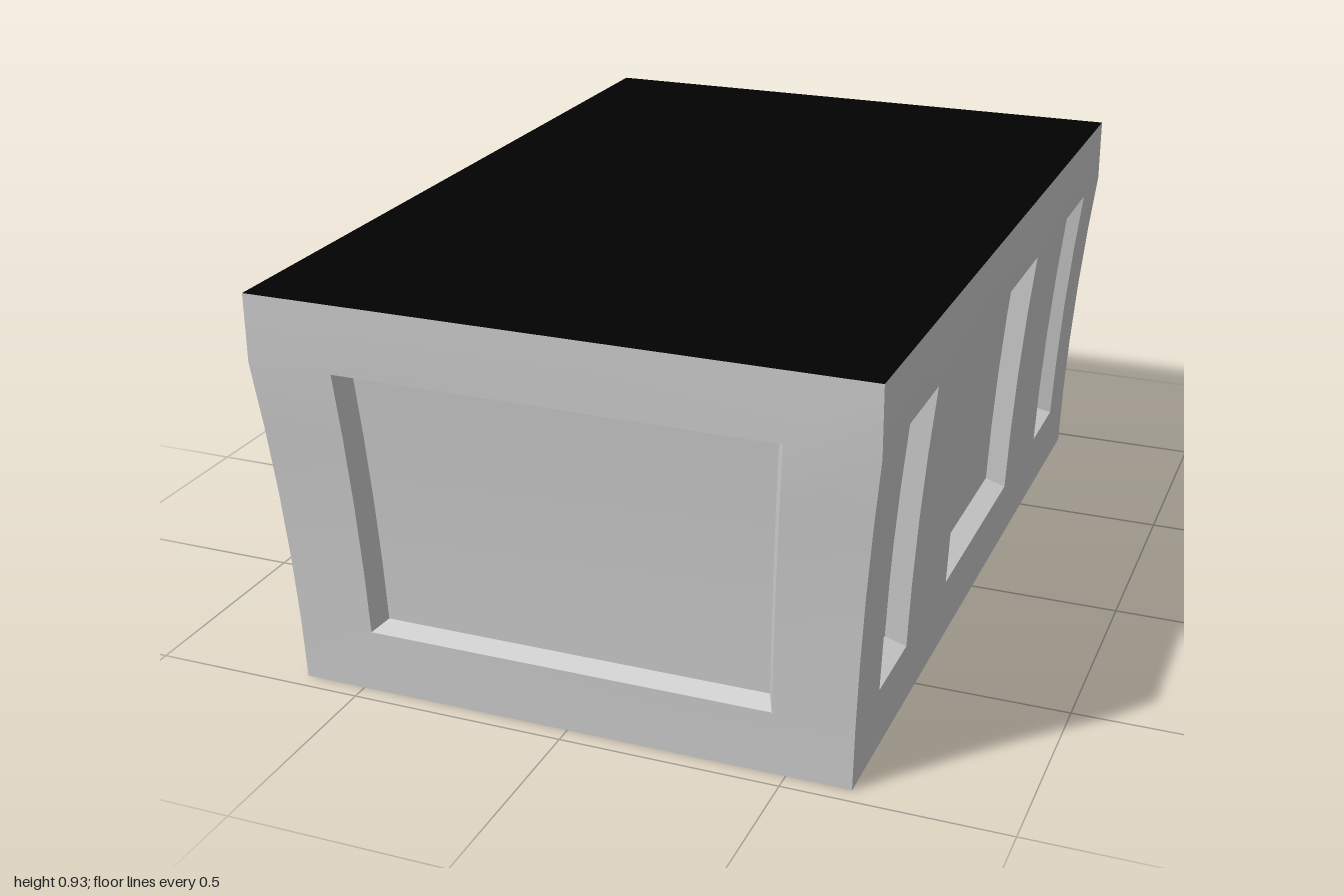
import * as THREE from 'three';
import { toCreasedNormals } from 'three/addons/utils/BufferGeometryUtils.js';

const TOP = 0.925, LEDGE = 0.77, SILL = 0.148;
const HALF_X = 0.7, HALF_Z = 1, TAPER_X = 0.055, TAPER_Z = 0.04;
const OPENING_ROWS = [SILL, 0.3, 0.46, 0.62, LEDGE];
const ROWS = [0, ...OPENING_ROWS, TOP];

const grey = new THREE.MeshStandardMaterial({ color: 0xcccccc });
const black = new THREE.MeshStandardMaterial({ color: 0x020202 });

// Gently bowed taper: 0 above the ledge, 1 at the ground
function taper(y) {
  const t = Math.max(0, (LEDGE - y) / LEDGE);
  return 1.7 * t - 0.7 * t * t;
}

function quadMesh(name, quads) {
  const coords = [];
  for (const [a, b, c, d] of quads) for (const p of [a, b, c, a, c, d]) coords.push(...p);
  const g = new THREE.BufferGeometry();
  g.setAttribute('position', new THREE.Float32BufferAttribute(coords, 3));
  g.computeVertexNormals();
  const mesh = new THREE.Mesh(toCreasedNormals(g, 0.2), grey);
  mesh.name = name;
  return mesh;
}

// One wall facing +z, with recessed windows { u0, u1, b0, b1 } (b = jamb slant)
function makeWall(name, { out, outTaper, half, halfTaper, power, depth, windows }) {
  const wall = new THREE.Group();
  wall.name = name;
  const point = (u, y, d = 0) => [
    u - Math.sign(u) * halfTaper * taper(y) * Math.pow(Math.abs(u) / half, power),
    y,
    out - outTaper * taper(y) - d,
  ];

  // Wall surface around the openings
  const us = [-half, ...windows.flatMap((w) => [w.u0, w.u1]), half];
  const surface = [];
  for (let i = 0; i < us.length - 1; i++) {
    for (let j = 0; j < ROWS.length - 1; j++) {
      const opening = i % 2 === 1 && ROWS[j] >= SILL && ROWS[j + 1] <= LEDGE;
      if (opening) continue;
      const [a, b, y0, y1] = [us[i], us[i + 1], ROWS[j], ROWS[j + 1]];
      surface.push([point(a, y0), point(b, y0), point(b, y1), point(a, y1)]);
    }
  }
  wall.add(quadMesh('wallSurface', surface));

  // Recessed panes and the slanted frames leading to them
  const paneRows = OPENING_ROWS.map((y) => THREE.MathUtils.mapLinear(y, SILL, LEDGE, SILL + 0.016, LEDGE - 0.014));
  for (const { u0, u1, b0, b1 } of windows) {
    const loop = (a, b, rows, d) => [
      ...rows.map((y) => point(b, y, d)),
      ...rows.map((y) => point(a, y, d)).reverse(),
    ];
    const outer = loop(u0, u1, OPENING_ROWS, 0);
    const inner = loop(u0 + b0, u1 - b1, paneRows, depth);
    const frame = outer.map((p, i) => {
      const k = (i + 1) % outer.length;
      return [p, outer[k], inner[k], inner[i]];
    });
    wall.add(quadMesh('windowFrame', frame));

    const pane = [];
    const n = inner.length;
    for (let j = 0; j < n / 2 - 1; j++) {
      pane.push([inner[n - 1 - j], inner[j], inner[j + 1], inner[n - 2 - j]]);
    }
    wall.add(quadMesh('windowPane', pane));
  }
  return wall;
}

export function createModel() {
  const model = new THREE.Group();
  model.name = 'cabin';

  const endWall = {
    out: HALF_Z, outTaper: TAPER_Z, half: HALF_X, halfTaper: TAPER_X, power: 1.5, depth: 0.045,
    windows: [{ u0: -0.5, u1: 0.5, b0: 0.023, b1: 0.023 }],
  };
  const sideWall = {
    out: HALF_X, outTaper: TAPER_X, half: HALF_Z, halfTaper: TAPER_Z, power: 4, depth: 0.05,
    windows: [
      { u0: -0.815, u1: -0.605, b0: 0.015, b1: 0 },
      { u0: -0.28, u1: 0.28, b0: 0, b1: 0 },
      { u0: 0.605, u1: 0.815, b0: 0, b1: 0.015 },
    ],
  };

  // Four walls, turned around the y axis
  [['frontWall', endWall], ['leftWall', sideWall], ['backWall', endWall], ['rightWall', sideWall]]
    .forEach(([name, spec], i) => {
      const wall = makeWall(name, spec);
      wall.rotation.y = (i * Math.PI) / 2;
      model.add(wall);
    });

  // Flat black roof
  const roof = new THREE.Mesh(new THREE.PlaneGeometry(2 * HALF_X, 2 * HALF_Z), black);
  roof.name = 'roof';
  roof.rotation.x = -Math.PI / 2;
  roof.position.y = TOP;
  model.add(roof);

  // Underside
  const floor = new THREE.Mesh(
    new THREE.PlaneGeometry(2 * (HALF_X - TAPER_X), 2 * (HALF_Z - TAPER_Z)), grey);
  floor.name = 'floor';
  floor.rotation.x = Math.PI / 2;
  model.add(floor);

  return model;
}
